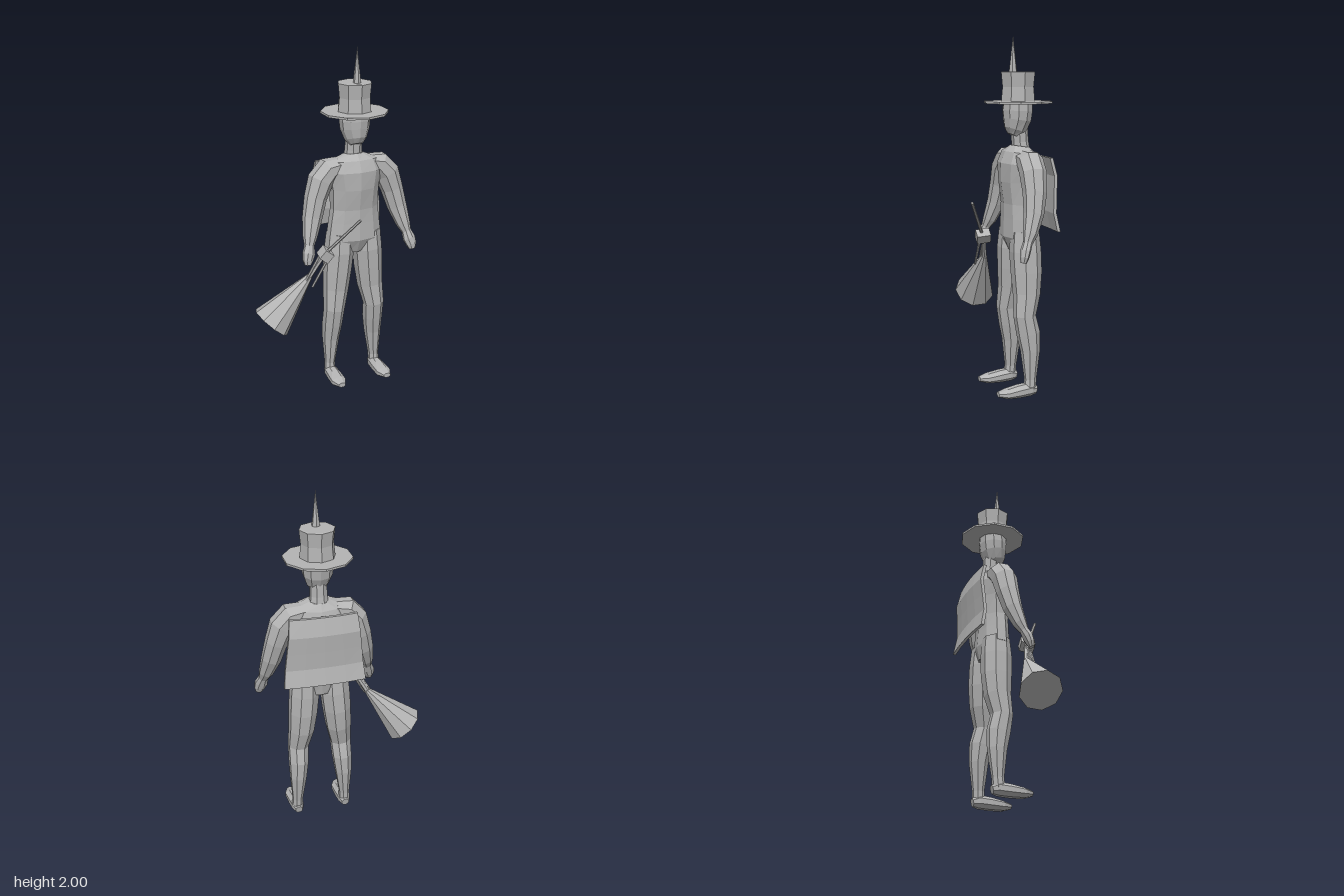
import * as THREE from 'three';

const CX = 0.137; // the figure stands off-centre, with the broom on its right
const V = (x, y, z) => new THREE.Vector3(x, y, z);

// Faceted normals for the low-poly look
function flat(geo) {
  const g = geo.index ? geo.toNonIndexed() : geo;
  g.computeVertexNormals();
  return g;
}

// Closed loft through sections [x, y, z, width radius, depth radius];
// the depth radius points along ref
function loft(sections, ref = V(0, 0, 1), sides = 8) {
  const pos = [], idx = [], n = sections.length;
  const pts = sections.map(s => V(s[0], s[1], s[2]));
  sections.forEach((s, i) => {
    const t = pts[Math.min(i + 1, n - 1)].clone().sub(pts[Math.max(i - 1, 0)]).normalize();
    const u = ref.clone().cross(t).normalize(), v = t.clone().cross(u);
    for (let j = 0; j < sides; j++) {
      const a = (j + 0.5) / sides * Math.PI * 2;
      const p = pts[i].clone().addScaledVector(u, Math.cos(a) * s[3] * 1.05).addScaledVector(v, Math.sin(a) * s[4] * 1.05);
      pos.push(p.x, p.y, p.z);
    }
  });
  for (const p of [pts[0], pts[n - 1]]) pos.push(p.x, p.y, p.z);
  for (let j = 0; j < sides; j++) {
    const k = (j + 1) % sides;
    for (let i = 0; i < n - 1; i++) {
      const a = i * sides + j, b = i * sides + k;
      idx.push(a, b, b + sides, a, b + sides, a + sides);
    }
    idx.push(n * sides, k, j, n * sides + 1, (n - 1) * sides + j, (n - 1) * sides + k);
  }
  const g = new THREE.BufferGeometry();
  g.setAttribute('position', new THREE.Float32BufferAttribute(pos, 3));
  g.setIndex(idx);
  return flat(g);
}

// Tapered rod between two points
function rod(a, b, ra, rb, sides = 6) {
  const d = b.clone().sub(a);
  const g = new THREE.CylinderGeometry(rb, ra, d.length(), sides);
  g.applyQuaternion(new THREE.Quaternion().setFromUnitVectors(V(0, 1, 0), d.clone().normalize()));
  g.translate((a.x + b.x) / 2, (a.y + b.y) / 2, (a.z + b.z) / 2);
  return flat(g);
}

export function createModel() {
  const model = new THREE.Group();
  const grey = new THREE.MeshStandardMaterial({ color: 0xb4b4b4 });
  grey.name = 'plain grey';
  const add = (name, geo, parent = model) => {
    const m = new THREE.Mesh(geo, grey);
    m.name = name;
    parent.add(m);
    return m;
  };

  // Body
  add('torso', loft([
    [CX, 0.82, -0.045, 0.08, 0.06], [CX, 0.9, -0.035, 0.163, 0.085],
    [CX, 1.0, -0.033, 0.15, 0.08], [CX, 1.08, -0.033, 0.138, 0.08],
    [CX, 1.2, -0.032, 0.142, 0.095], [CX, 1.3, -0.035, 0.165, 0.1],
    [CX, 1.36, -0.04, 0.145, 0.08], [CX, 1.395, -0.045, 0.06, 0.05],
  ], undefined, 10));
  add('neck', loft([[CX, 1.37, -0.05, 0.054, 0.048], [CX, 1.42, -0.045, 0.047, 0.045], [CX, 1.5, -0.04, 0.047, 0.045]]));
  add('head', loft([
    [CX, 1.455, -0.002, 0.035, 0.03], [CX, 1.485, -0.015, 0.06, 0.06], [CX, 1.54, -0.027, 0.08, 0.075],
    [CX, 1.59, -0.03, 0.085, 0.08], [CX, 1.65, -0.032, 0.08, 0.078],
  ], undefined, 10));

  // Limbs, mirrored about the figure's own centre line
  for (const [side, s] of [['left', 1], ['right', -1]]) {
    const x = d => CX + s * d;
    add(side + 'Arm', loft([
      [x(0.09), 1.335, -0.04, 0.045, 0.065], [x(0.155), 1.318, -0.04, 0.068, 0.07],
      [x(0.205), 1.26, -0.036, 0.072, 0.07], [x(0.24), 1.16, -0.03, 0.062, 0.062],
      [x(0.268), 1.05, -0.012, 0.055, 0.052], [x(0.295), 0.95, 0.02, 0.04, 0.038],
      [x(0.308), 0.905, 0.04, 0.027, 0.025],
    ]));
    add(side + 'Hand', loft([
      [x(0.307), 0.91, 0.038, 0.027, 0.024], [x(0.318), 0.865, 0.057, 0.037, 0.026],
      [x(0.328), 0.83, 0.067, 0.03, 0.022], [x(0.331), 0.803, 0.073, 0.018, 0.014],
    ]));
    add(side + 'Leg', loft([
      [x(0.085), 0.93, -0.04, 0.075, 0.075], [x(0.09), 0.82, -0.04, 0.083, 0.085],
      [x(0.1), 0.7, -0.043, 0.08, 0.083], [x(0.111), 0.58, -0.04, 0.072, 0.073],
      [x(0.128), 0.46, -0.022, 0.059, 0.06], [x(0.132), 0.36, -0.042, 0.056, 0.064],
      [x(0.138), 0.26, -0.052, 0.048, 0.053], [x(0.145), 0.1, -0.05, 0.03, 0.033],
      [x(0.147), 0.045, -0.045, 0.032, 0.035],
    ]));
    add(side + 'Foot', loft([
      [x(0.145), 0.035, -0.084, 0.022, 0.024], [x(0.145), 0.042, -0.05, 0.036, 0.038],
      [x(0.146), 0.038, 0.02, 0.042, 0.036], [x(0.148), 0.033, 0.095, 0.044, 0.028],
      [x(0.148), 0.034, 0.145, 0.022, 0.014],
    ], V(0, 1, 0)));
  }

  // Hat: wide brim, slightly waisted crown and a tall spike
  const hat = new THREE.Group();
  hat.name = 'hat';
  model.add(hat);
  const brim = add('hatBrim', flat(new THREE.CylinderGeometry(0.192, 0.192, 0.012, 10)), hat);
  brim.position.set(CX, 1.636, -0.033);
  const profile = [[0, 1.635], [0.1, 1.635], [0.092, 1.72], [0.1, 1.8], [0.092, 1.803], [0, 1.803]];
  const crown = add('hatCrown', flat(new THREE.LatheGeometry(profile.map(p => new THREE.Vector2(...p)), 8)), hat);
  crown.position.set(CX, 0, -0.033);
  const spike = add('hatSpike', flat(new THREE.ConeGeometry(0.032, 0.27, 6)), hat);
  spike.position.set(CX, 1.865, -0.003);

  // Rippled cape: a box widened downwards and waved in depth
  const cape = new THREE.BoxGeometry(1, 0.4, 0.018, 4, 4, 1);
  const wave = [-0.185, -0.166, -0.172, -0.18, -0.157];
  const p = cape.attributes.position;
  for (let i = 0; i < p.count; i++) {
    const x = p.getX(i), y = p.getY(i), row = Math.round((y + 0.2) / 0.1);
    p.setXYZ(i, CX + x * (0.465 - row * 0.021), y + 1.14, p.getZ(i) + wave[row] + x * x * 0.05 - 0.006);
  }
  add('cape', flat(cape));

  // Broom held in the right hand
  const broom = new THREE.Group();
  broom.name = 'broom';
  model.add(broom);
  const neck = V(-0.175, 0.725, 0.05);
  add('broomHandle', rod(V(0.066, 1.08, 0.212), V(-0.095, 0.865, 0.09), 0.008, 0.009), broom);
  add('broomShaft', rod(V(-0.09, 0.87, 0.085), neck, 0.012, 0.016), broom);
  const block = add('broomBlock', flat(new THREE.BoxGeometry(0.06, 0.06, 0.08)), broom);
  block.position.set(-0.092, 0.86, 0.088);
  block.rotation.set(0.1, -0.15, -0.65);
  for (const o of [-0.02, 0.02]) {
    add('broomProng', rod(V(-0.1 + o, 0.85, 0.09 + o), V(-0.2 + o, 0.68, 0.085 + o), 0.008, 0.007), broom);
  }
  add('bristles', rod(neck, V(-0.405, 0.467, 0.027), 0.018, 0.118, 9), broom);

  return model;
}
